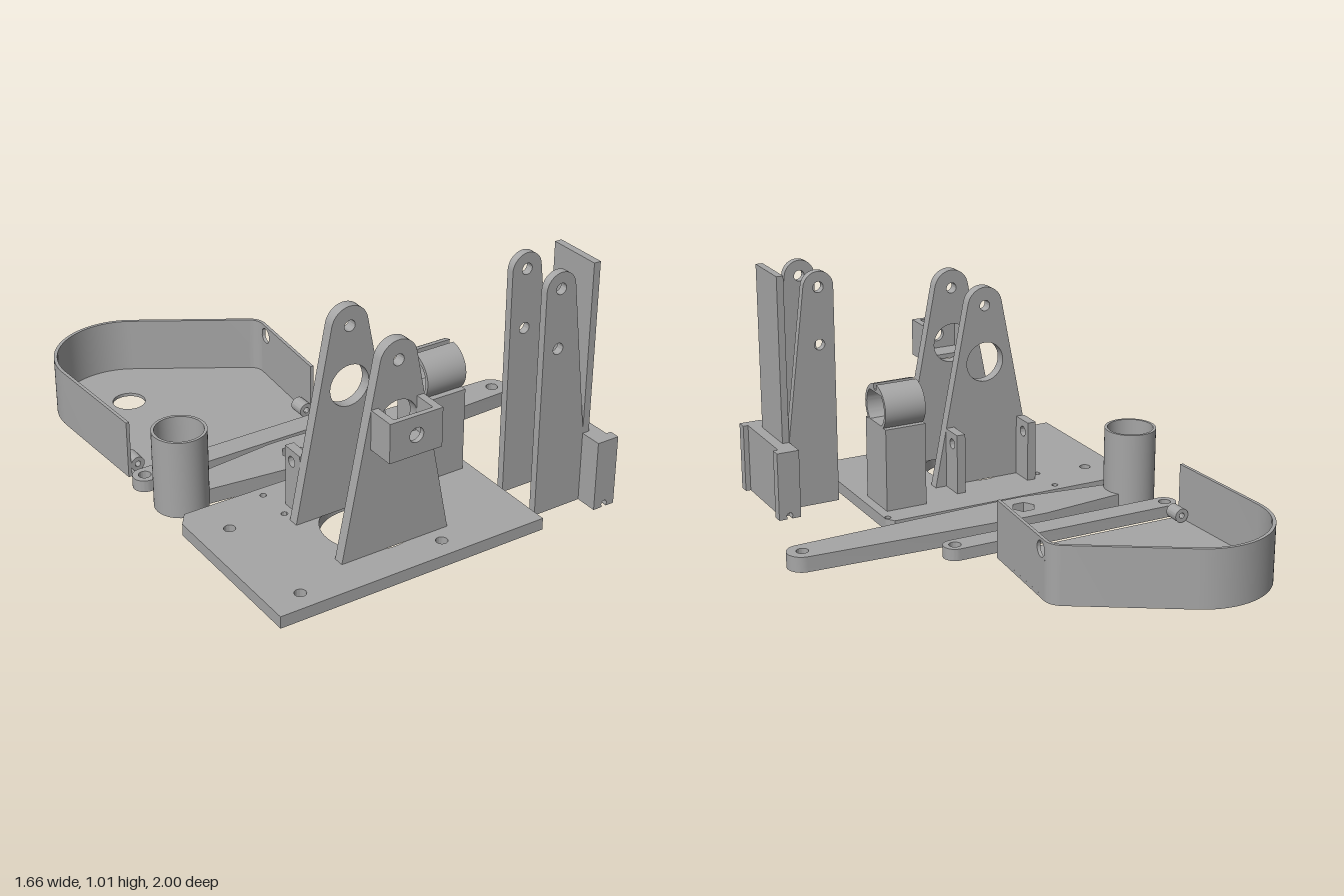
import * as THREE from 'three';
import { toCreasedNormals } from 'three/addons/utils/BufferGeometryUtils.js';

const grey = new THREE.MeshStandardMaterial({ color: 0xa6a6a6 });
grey.name = 'plain grey';

const circle = (x, y, r) => new THREE.Path().absarc(x, y, r, 0, Math.PI * 2, false);
const poly = (pts) => new THREE.Shape(pts.map(([x, y]) => new THREE.Vector2(x, y)));
const rect = (x0, y0, x1, y1) => poly([[x0, y0], [x1, y0], [x1, y1], [x0, y1]]);
const arcPts = (x, y, r, a0, a1, n = 20) =>
  Array.from({ length: n + 1 }, (_, i) => {
    const a = a0 + (a1 - a0) * i / n;
    return [x + r * Math.cos(a), y + r * Math.sin(a)];
  });

function solid(shape, depth, holes = []) {
  shape.holes.push(...holes);
  return new THREE.ExtrudeGeometry(shape, { depth, bevelEnabled: false, curveSegments: 28 });
}
function mesh(name, geometry) {
  const m = new THREE.Mesh(toCreasedNormals(geometry, 0.5), grey);
  m.name = name;
  return m;
}
// Drawn in (x, -z), raised from y0 to y1
const lying = (name, shape, y0, y1, holes) =>
  mesh(name, solid(shape, y1 - y0, holes).rotateX(-Math.PI / 2).translate(0, y0, 0));
// Drawn in (x, y), thick from z0 to z1
const facing = (name, shape, z0, z1, holes) =>
  mesh(name, solid(shape, z1 - z0, holes).translate(0, 0, z0));
// Drawn in (-z, y), thick from x0 to x1
const sideways = (name, shape, x0, x1, holes) =>
  mesh(name, solid(shape, x1 - x0, holes).rotateY(Math.PI / 2).translate(x0, 0, 0));
const box = (name, x0, x1, y0, y1, z0, z1) =>
  mesh(name, new THREE.BoxGeometry(x1 - x0, y1 - y0, z1 - z0)
    .translate((x0 + x1) / 2, (y0 + y1) / 2, (z0 + z1) / 2));
function group(name, ...parts) {
  const g = new THREE.Group();
  g.name = name;
  g.add(...parts);
  return g;
}

function makeBase() {
  const plate = lying('basePlate',
    poly([[-0.835, -1], [0.325, -1], [0.325, -0.28], [0.3, -0.243], [-0.795, -0.243], [-0.835, -0.3]]), 0, 0.05,
    [circle(-0.247, -0.67, 0.183),
      ...[[-0.7, 0.42], [-0.7, 0.915], [-0.083, 0.915]].map(([x, z]) => circle(x, -z, 0.023)),
      ...[[-0.475, 0.29], [-0.475, 0.445], [0.31, 0.29]].map(([x, z]) => circle(x, -z, 0.013))]);
  const g = group('base', plate);

  // Tapered uprights
  for (const [name, z] of [['backUpright', 0.493], ['frontUpright', 0.803]]) {
    const outline = poly([[-0.48, 0.05], [-0.01, 0.05], ...arcPts(-0.245, 0.823, 0.08, 0.2, Math.PI - 0.2)]);
    g.add(facing(name, outline, z, z + 0.045, [circle(-0.245, 0.823, 0.023), circle(-0.245, 0.577, 0.085)]));
  }
  // Drilled tabs behind the back upright
  for (const x of [-0.435, -0.098]) {
    g.add(sideways('drilledTab', rect(-0.493, 0.05, -0.39, 0.31), x, x + 0.038, [circle(-0.435, 0.26, 0.022)]));
  }
  // Open-topped box on the front upright
  g.add(group('frontBox',
    facing('boxFront', rect(-0.36, 0.495, -0.133, 0.655), 0.945, 0.966, [circle(-0.245, 0.577, 0.03)]),
    box('boxSideRight', -0.36, -0.33, 0.495, 0.655, 0.847, 0.946),
    box('boxSideLeft', -0.163, -0.133, 0.495, 0.655, 0.847, 0.946),
    box('boxFloor', -0.331, -0.162, 0.495, 0.515, 0.847, 0.946)));

  // Post with a slotted ring on top
  const cy = 0.474, cz = -0.447;
  const ring = poly([
    ...arcPts(cz, cy, 0.1, Math.PI / 2 + 0.12, Math.PI * 2.5 - 0.12, 48),
    [cz + 0.012, 0.548], [cz - 0.012, 0.548]]);
  const bore = new THREE.Path([
    ...arcPts(cz, cy, 0.085, -0.87, 0.87), ...arcPts(cz, cy, 0.085, Math.PI - 0.87, Math.PI + 0.87),
  ].map(([x, y]) => new THREE.Vector2(x, y)));
  g.add(group('ringPost',
    box('post', 0.105, 0.285, 0.05, 0.405, 0.35, 0.545),
    sideways('slottedRing', ring, 0.105, 0.285, [bore])));
  return g;
}

function makeLever() {
  const hex = new THREE.Path(arcPts(-0.218, -0.1, 0.05, 0, Math.PI * 5 / 3, 5)
    .map(([x, y]) => new THREE.Vector2(x, y)));
  const arm = poly([[-0.68, -0.16], [-0.63, -0.163], [-0.27, -0.203], [-0.17, -0.203],
    ...arcPts(0.766, -0.1, 0.064, -Math.PI / 2 + 0.06, Math.PI / 2 - 0.06),
    [-0.17, 0.003], [-0.27, 0.003], [-0.63, -0.037], [-0.68, -0.04]]);
  const cup = new THREE.LatheGeometry(
    [[0, 0], [0.108, 0], [0.108, 0.33], [0.096, 0.33], [0.096, 0.066], [0, 0.066]]
      .map(([x, y]) => new THREE.Vector2(x, y)), 48).translate(-0.727, 0, 0.1);
  return group('lever',
    lying('leverArm', arm, 0, 0.065, [hex, circle(0.766, -0.1, 0.025)]),
    mesh('leverCup', cup));
}

function makeLink() {
  const outline = poly([...arcPts(0.195, 0.09, 0.049, -Math.PI / 2, Math.PI / 2),
    ...arcPts(-0.785, 0.09, 0.049, Math.PI / 2, Math.PI * 1.5)]);
  return lying('link', outline, 0, 0.05, [circle(0.195, 0.09, 0.025), circle(-0.785, 0.09, 0.025)]);
}

function makeCover() {
  const t = 0.014, height = 0.245;
  // Outline from the right corner round to the open front, inset by d
  const rim = (d) => [
    ...arcPts(0.01, 0.625, 0.08 - d, -0.08, 1.01),
    ...arcPts(-0.535, 0.7, 0.3 - d, 1.01, Math.PI + 0.04, 36),
    [-0.81 + d, 0.18]];
  const floor = poly([[0.055, 0.18], ...rim(0)]);
  const wall = poly([...rim(0), ...rim(t).reverse()]);

  // Straight wall with a round hole
  const dx = 0.035, dz = 0.445, len = Math.hypot(dx, dz);
  const straight = solid(rect(0, 0, len, height), t, [circle(0.41, 0.2, 0.033)])
    .translate(0, 0, -t).rotateY(Math.atan2(dz, dx)).translate(0.055, 0, -0.18);

  const g = group('cover',
    lying('coverFloor', floor, 0, 0.014, [circle(-0.535, 0.7, 0.068)]),
    lying('coverWall', wall, 0, height),
    mesh('coverStraightWall', straight));
  for (const x of [-0.767, 0.02]) {
    g.add(facing('coverBoss', new THREE.Shape().absarc(x, 0.047, 0.03, 0, Math.PI * 2), -0.25, -0.18,
      [circle(x, 0.047, 0.012)]));
  }
  return g;
}

function makeBracket() {
  const g = group('bracket',
    box('backPlate', 0.575, 0.605, 0, 1.01, 0.68, 0.907),
    box('clampBlock', 0.575, 0.65, 0, 0.278, 0.61, 0.965),
    box('clampTop', 0.575, 0.65, 0.276, 0.295, 0.61, 0.965));
  // Rounded arms
  for (const z of [0.675, 0.875]) {
    const outline = poly([[0.36, 0], [0.577, 0], [0.577, 0.295],
      ...arcPts(0.427, 0.945, 0.067, 0.12, Math.PI)]);
    g.add(facing('bracketArm', outline, z, z + 0.032,
      [circle(0.427, 0.945, 0.023), circle(0.427, 0.7, 0.023)]));
  }
  // End flanges with a small notch at the foot
  for (const z of [0.575, 0.957]) {
    const flange = poly([[0.575, 0], [0.614, 0], ...arcPts(0.625, 0.014, 0.013, Math.PI * 1.2, -0.2 * Math.PI, 12),
      [0.636, 0], [0.672, 0], [0.672, 0.295], [0.575, 0.295]]);
    g.add(facing('endFlange', flange, z, z + 0.043));
  }
  return g;
}

export function createModel() {
  return group('machineParts', makeBase(), makeLever(), makeLink(), makeCover(), makeBracket());
}
